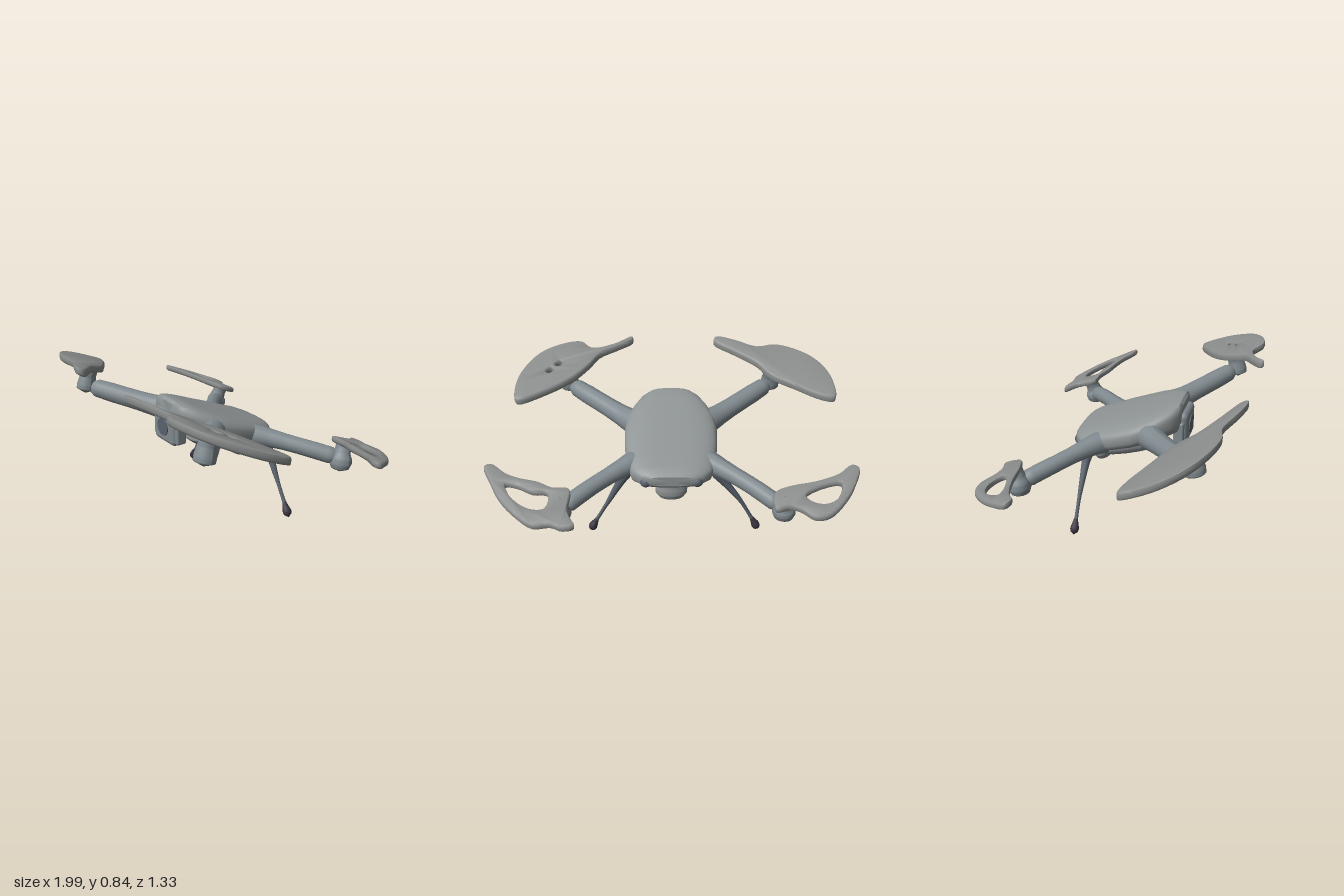
import * as THREE from 'three';
import { toCreasedNormals } from 'three/addons/utils/BufferGeometryUtils.js';
import { RoundedBoxGeometry } from 'three/addons/geometries/RoundedBoxGeometry.js';

const paint = (color) => new THREE.MeshStandardMaterial({ color });
const bodyGrey = paint(0x8e9394);
const armGrey = paint(0x808a8f);
const bladeGrey = paint(0x8b8d8d);
const legGrey = paint(0x5a626c);
const dark = paint(0x3a3542);
const V = (p) => new THREE.Vector3(...p);

function part(name, geometry, material) {
  const mesh = new THREE.Mesh(geometry, material);
  mesh.name = name;
  return mesh;
}

// Tube along a smooth path whose radius follows a list of values
function limb(points, radii, seg = 28, sides = 16) {
  const path = new THREE.CatmullRomCurve3(points.map(V));
  const g = new THREE.TubeGeometry(path, seg, 1, sides);
  const pos = g.attributes.position;
  const v = new THREE.Vector3();
  for (let i = 0; i <= seg; i++) {
    const c = path.getPointAt(i / seg);
    const f = (i / seg) * (radii.length - 1);
    const k = Math.min(Math.floor(f), radii.length - 2);
    const r = THREE.MathUtils.lerp(radii[k], radii[k + 1], f - k);
    for (let j = 0; j <= sides; j++) {
      const n = i * (sides + 1) + j;
      v.fromBufferAttribute(pos, n).sub(c).multiplyScalar(r).add(c);
      pos.setXYZ(n, v.x, v.y, v.z);
    }
  }
  g.computeVertexNormals();
  return g;
}

// Hull lofted through stations [z, half width, bottom, top]; n sets how square the sections are
function hull(stations, n, sides = 48) {
  const pos = [], index = [];
  const first = stations[0], last = stations[stations.length - 1];
  const tip = ([z, , b, t]) => [z, 0.001, (b + t) / 2 - 0.001, (b + t) / 2 + 0.001];
  const rings = [tip(first), ...stations, tip(last)];
  const bend = (c) => Math.sign(c) * Math.abs(c) ** (2 / n);
  rings.forEach(([z, w, b, t], i) => {
    for (let j = 0; j < sides; j++) {
      const a = (j / sides) * Math.PI * 2;
      pos.push(w * bend(Math.cos(a)), (b + t) / 2 + ((t - b) / 2) * bend(Math.sin(a)), z);
      if (i === rings.length - 1) continue;
      const p = i * sides + j, q = i * sides + ((j + 1) % sides);
      index.push(p, q, p + sides, q, q + sides, p + sides);
    }
  });
  const g = new THREE.BufferGeometry();
  g.setAttribute('position', new THREE.Float32BufferAttribute(pos, 3));
  g.setIndex(index);
  return toCreasedNormals(g, 0.7);
}

// Thin blade from an x-z outline, lying in the plane y = height + slope * z
function blade(outline, holes, height, slope, thickness) {
  const smooth = (pts) => new THREE.CatmullRomCurve3(pts.map(([x, z]) => V([x, z, 0])), true, 'centripetal')
    .getPoints(pts.length * 4).slice(0, -1).map((p) => new THREE.Vector2(p.x, p.y));
  const shape = new THREE.Shape(smooth(outline));
  holes.forEach((h) => shape.holes.push(new THREE.Path(smooth(h))));
  const depth = thickness - 0.024;
  const g = new THREE.ExtrudeGeometry(shape, {
    depth, bevelThickness: 0.012, bevelSize: 0.01, bevelOffset: -0.01, bevelSegments: 2,
  });
  g.rotateX(Math.PI / 2);
  const pos = g.attributes.position;
  for (let i = 0; i < pos.count; i++) pos.setY(i, pos.getY(i) + depth / 2 + height + slope * pos.getZ(i));
  g.deleteAttribute('normal');
  return toCreasedNormals(g, 0.8);
}

export function createModel() {
  const model = new THREE.Group();
  model.name = 'drone';

  // Nose-up upper shell and the belly below it
  model.add(part('upperShell', hull([
    [-0.325, 0.13, 0.385, 0.445], [-0.305, 0.175, 0.365, 0.462], [-0.265, 0.22, 0.355, 0.48],
    [-0.18, 0.245, 0.36, 0.51], [-0.08, 0.26, 0.385, 0.55], [0.03, 0.265, 0.42, 0.592],
    [0.11, 0.255, 0.45, 0.625], [0.18, 0.22, 0.475, 0.655], [0.235, 0.18, 0.495, 0.677],
    [0.265, 0.145, 0.505, 0.68], [0.28, 0.11, 0.525, 0.665],
  ], 3), bodyGrey));
  model.add(part('belly', hull([
    [-0.285, 0.17, 0.365, 0.45], [-0.26, 0.2, 0.345, 0.47], [-0.18, 0.22, 0.332, 0.49], [-0.09, 0.225, 0.328, 0.52],
    [0.0, 0.225, 0.35, 0.55], [0.08, 0.215, 0.375, 0.57], [0.14, 0.2, 0.4, 0.58], [0.172, 0.17, 0.43, 0.59],
  ], 2.6), bodyGrey));

  // Front camera: housing, lens and side yokes
  const camera = new THREE.Group();
  camera.name = 'camera';
  const housing = part('cameraHousing', new RoundedBoxGeometry(0.2, 0.19, 0.08, 4, 0.03), armGrey);
  const lens = part('cameraLens', new THREE.CylinderGeometry(0.05, 0.055, 0.03, 24), legGrey);
  lens.rotation.x = Math.PI / 2;
  lens.position.z = 0.03;
  camera.add(housing, lens);
  for (const s of [-1, 1]) {
    const yoke = part('cameraYoke', new RoundedBoxGeometry(0.03, 0.13, 0.06, 3, 0.012), armGrey);
    yoke.position.set(s * 0.105, -0.015, -0.005);
    camera.add(yoke);
  }
  camera.position.set(0, 0.525, 0.272);
  model.add(camera);

  // Sensor pod under the tail, flattened front to back
  const pod = limb([[0, 0.4, 0], [0, 0.31, 0], [0, 0.218, 0]],
    [0.08, 0.085, 0.085, 0.085, 0.09, 0.088, 0.07, 0.001], 28, 24);
  pod.scale(1, 1, 0.62).translate(0, 0, -0.21);
  model.add(part('bellyPod', pod, bodyGrey));

  for (const s of [-1, 1]) {
    const side = s > 0 ? 'left' : 'right';
    const m = (pts) => pts.map(([x, y, z]) => [s * x, y, z]);

    // Arms with motors at their ends
    model.add(part(side + 'FrontArm', limb(
      m([[0.15, 0.52, 0.08], [0.25, 0.53, 0.165], [0.42, 0.57, 0.3], [0.56, 0.605, 0.41], [0.64, 0.625, 0.475]]),
      [0.075, 0.073, 0.062, 0.057, 0.056, 0.056, 0.052, 0.001]), armGrey));
    model.add(part(side + 'FrontMotor', limb(
      m([[0.62, 0.575, 0.475], [0.62, 0.66, 0.455], [0.62, 0.745, 0.43]]),
      [0.001, 0.055, 0.056, 0.052, 0.048, 0.05, 0.05, 0.001]), armGrey));
    model.add(part(side + 'RearArm', limb(
      m([[0.14, 0.44, -0.1], [0.25, 0.43, -0.19], [0.42, 0.395, -0.325], [0.54, 0.36, -0.43], [0.61, 0.335, -0.49]]),
      [0.068, 0.064, 0.053, 0.047, 0.046, 0.047, 0.047, 0.001]), armGrey));
    model.add(part(side + 'RearMotor', limb(
      m([[0.59, 0.268, -0.468], [0.588, 0.35, -0.475], [0.575, 0.45, -0.51]]),
      [0.001, 0.053, 0.062, 0.06, 0.047, 0.043, 0.045, 0.001]), armGrey));

    // Splayed landing leg with a bulb foot
    const foot = s > 0 ? 0.47 : 0.505;
    model.add(part(side + 'Leg', limb(
      [[s * 0.22, 0.45, -0.2], [s * 0.26, 0.385, -0.21], [s * (foot - 0.115), 0.21, -0.212], [s * (foot - 0.035), 0.07, -0.213]],
      [0.03, 0.034, 0.024, 0.019, 0.015, 0.011, 0.01, 0.011], 24, 10), legGrey));
    model.add(part(side + 'Foot', limb(
      [[s * (foot - 0.045), 0.09, -0.213], [s * (foot - 0.022), 0.045, -0.214], [s * foot, 0.004, -0.215]],
      [0.008, 0.013, 0.017, 0.022, 0.025, 0.021, 0.001], 18, 10), dark));

    // Round sensor on the tail
    const sensor = part(side + 'TailSensor', new THREE.SphereGeometry(0.032, 20, 14), legGrey);
    sensor.position.set(s * 0.14, 0.4, -0.298);
    model.add(sensor);
  }

  // Front propellers
  model.add(part('rightFrontPropeller', blade([
    [-0.97, 0.2], [-0.9, 0.205], [-0.75, 0.28], [-0.6, 0.365], [-0.53, 0.45], [-0.4, 0.54], [-0.275, 0.625],
    [-0.29, 0.655], [-0.4, 0.63], [-0.54, 0.575], [-0.65, 0.59], [-0.77, 0.555], [-0.89, 0.475], [-0.965, 0.35],
  ], [], 0.552, 0.42, 0.045), bladeGrey));
  model.add(part('leftFrontPropeller', blade([
    [0.9, 0.19], [0.92, 0.25], [0.9, 0.38], [0.8, 0.53], [0.66, 0.605], [0.55, 0.62], [0.48, 0.57], [0.34, 0.605],
    [0.235, 0.66], [0.23, 0.64], [0.32, 0.585], [0.43, 0.525], [0.485, 0.45], [0.58, 0.35], [0.75, 0.245],
  ], [
    [[0.65, 0.455], [0.68, 0.43], [0.7, 0.44], [0.67, 0.47]],
    [[0.7, 0.4], [0.73, 0.38], [0.75, 0.39], [0.72, 0.42]],
  ], 0.552, 0.42, 0.045), bladeGrey));

  // Rear propellers
  model.add(part('rightRearPropeller', blade([
    [-0.53, -0.575], [-0.6, -0.56], [-0.655, -0.575], [-0.72, -0.62], [-0.8, -0.61], [-0.9, -0.52], [-0.96, -0.43],
    [-0.998, -0.335], [-0.96, -0.315], [-0.88, -0.37], [-0.75, -0.415], [-0.62, -0.44], [-0.53, -0.48],
  ], [
    [[-0.885, -0.425], [-0.855, -0.51], [-0.79, -0.545], [-0.725, -0.535], [-0.69, -0.5], [-0.74, -0.46]],
  ], 0.617, 0.37, 0.036), bladeGrey));
  model.add(part('leftRearPropeller', blade([
    [0.49, -0.655], [0.55, -0.67], [0.61, -0.65], [0.7, -0.655], [0.8, -0.59], [0.89, -0.5], [0.95, -0.4],
    [0.995, -0.31], [0.96, -0.295], [0.87, -0.355], [0.79, -0.385], [0.7, -0.405], [0.62, -0.44], [0.53, -0.45], [0.53, -0.58],
  ], [
    [[0.65, -0.56], [0.73, -0.56], [0.83, -0.49], [0.865, -0.42], [0.8, -0.43], [0.72, -0.465], [0.64, -0.475]],
  ], 0.617, 0.37, 0.036), bladeGrey));

  return model;
}
